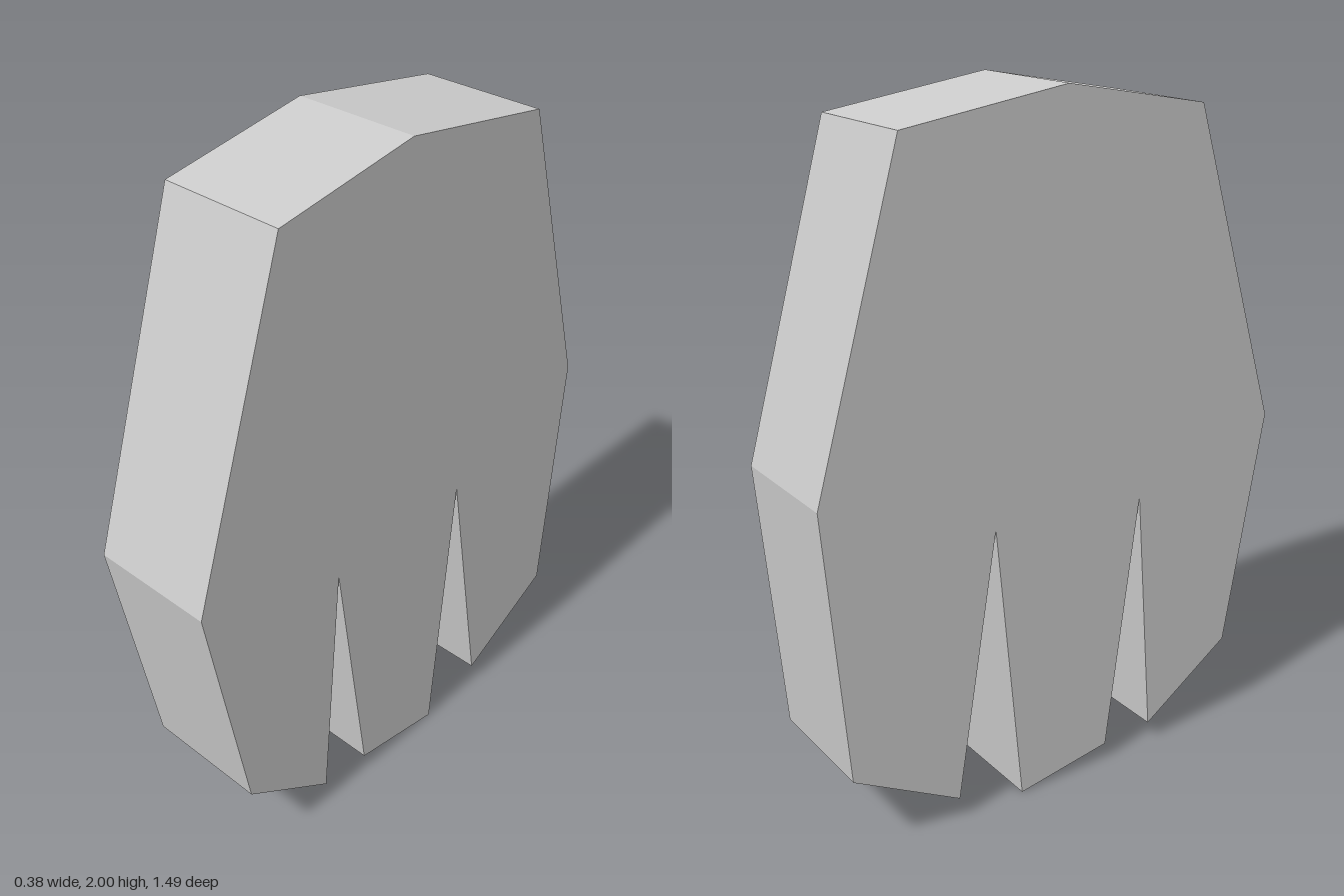
import * as THREE from 'three';

export function createModel() {
  const group = new THREE.Group();
  const width = 0.375;

  // Side outline as [z, y]: domed crown, then three toes split by two notches
  const outline = [
    [0.443, 1.922], [0, 2], [-0.488, 1.927], [-0.745, 1.04], [-0.686, 0.25],
    [-0.357, 0.066], // rear toe tip
    [-0.228, 0.86], // rear notch
    [-0.144, 0.002], [0.16, 0.052], // middle toe
    [0.265, 0.833], // front notch
    [0.327, 0.064], // front toe tip
    [0.621, 0.264], [0.745, 0.985],
  ];
  const shape = new THREE.Shape(outline.map(([z, y]) => new THREE.Vector2(z, y)));

  // Slab extruded across x
  const geometry = new THREE.ExtrudeGeometry(shape, { depth: width, bevelEnabled: false });
  geometry.translate(0, 0, -width / 2);
  geometry.rotateY(-Math.PI / 2);

  const body = new THREE.Mesh(
    geometry,
    new THREE.MeshStandardMaterial({ color: 0xcccccc, flatShading: true })
  );
  body.name = 'notchedSlab';
  group.add(body);
  return group;
}
